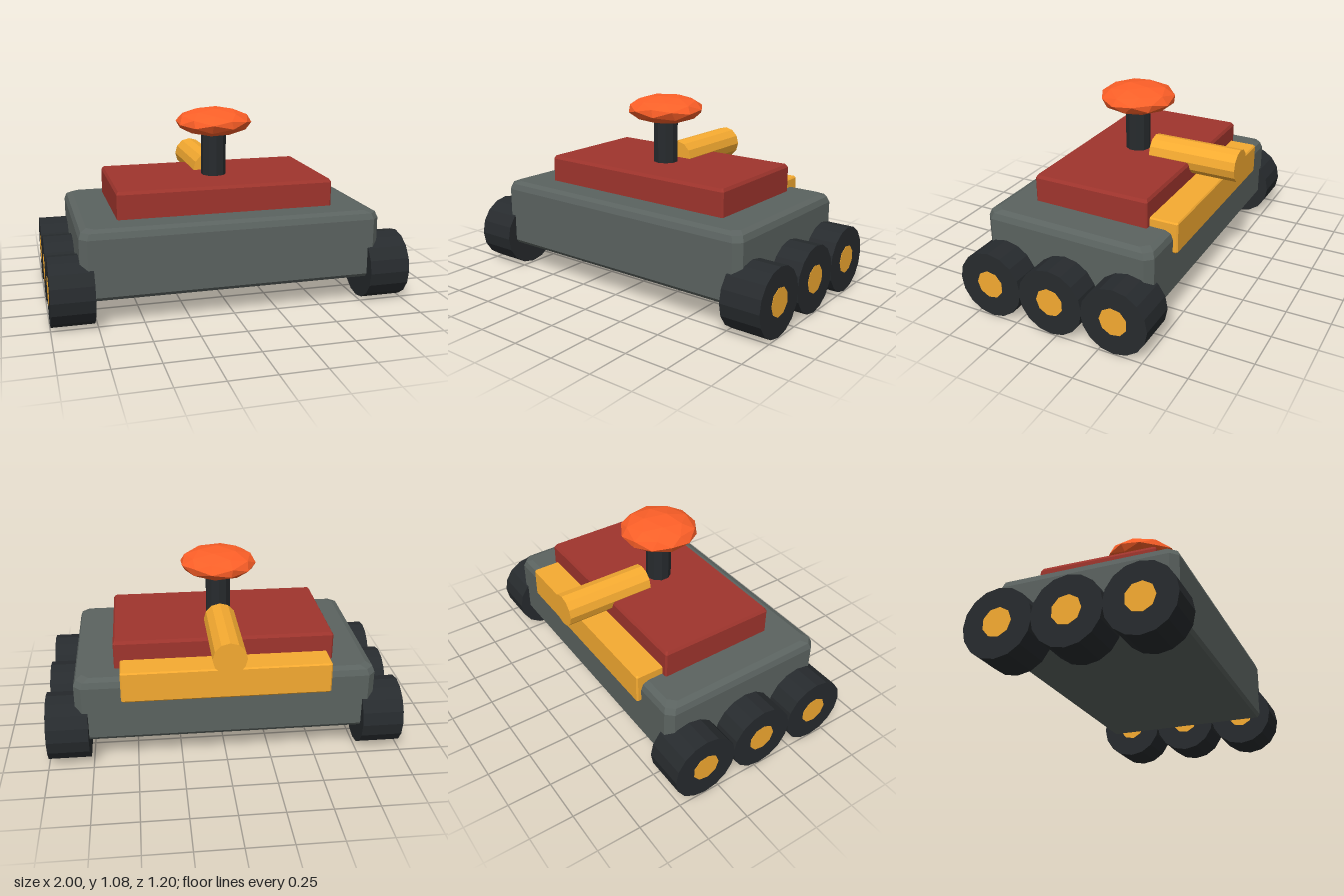
import * as THREE from 'three';

const paint = (color) => new THREE.MeshStandardMaterial({ color, flatShading: true });
const grey = paint(0x5b6360), dark = paint(0x272b2e), red = paint(0xa0352d);
const yellow = paint(0xf6ab31), orange = paint(0xff6028);

// Block lofted from eight-cornered rings; rings = [height, inset], bottom to top
function chamferedBlock(hw, hd, corner, rings) {
  const pos = [], index = [];
  for (const [y, inset] of rings) {
    const w = hw - inset, d = hd - inset, c = corner;
    const ring = [[w, c - d], [w - c, -d], [c - w, -d], [-w, c - d],
      [-w, d - c], [c - w, d], [w - c, d], [w, d - c]];
    for (const [x, z] of ring) pos.push(x, y, z);
  }
  for (let r = 0; r < rings.length - 1; r++) {
    for (let i = 0; i < 8; i++) {
      const a = r * 8 + i, b = r * 8 + (i + 1) % 8;
      index.push(a, b, a + 8, b, b + 8, a + 8);
    }
  }
  const top = (rings.length - 1) * 8;
  for (let i = 1; i < 7; i++) {
    index.push(0, i + 1, i);
    index.push(top, top + i, top + i + 1);
  }
  const g = new THREE.BufferGeometry();
  g.setAttribute('position', new THREE.Float32BufferAttribute(pos, 3));
  g.setIndex(index);
  const flat = g.toNonIndexed();
  flat.computeVertexNormals();
  return flat;
}

export function createModel() {
  const model = new THREE.Group();
  model.name = 'sixWheeledRover';
  const add = (name, geometry, material, x, y, z, parent = model) => {
    const mesh = new THREE.Mesh(geometry, material);
    mesh.name = name;
    mesh.position.set(x, y, z);
    parent.add(mesh);
  };

  // Hull, its deck sloping very slightly down to the rear
  const hull = chamferedBlock(0.835, 0.5, 0.04,
    [[0.155, 0.015], [0.175, 0], [0.485, 0], [0.518, 0.012], [0.532, 0.045]]);
  const p = hull.attributes.position;
  for (let i = 0; i < p.count; i++) {
    if (p.getY(i) > 0.4) p.setY(i, p.getY(i) + 0.012 * p.getZ(i));
  }
  hull.computeVertexNormals();
  add('hull', hull, grey, 0, 0, 0.036);

  // Raised deck block
  add('upperDeck', chamferedBlock(0.613, 0.34, 0.008,
    [[0.5, 0], [0.672, 0], [0.689, 0.01]]), red, 0, 0, 0.01);

  // Storage box set into the back of the hull
  add('rearBox', chamferedBlock(0.58, 0.1, 0.008,
    [[0.4, 0.006], [0.408, 0], [0.57, 0], [0.578, 0.006]]), yellow, 0, 0, -0.39);

  // Pipe pointing backwards
  const pipe = new THREE.CylinderGeometry(0.093, 0.093, 0.52, 12).rotateX(Math.PI / 2);
  add('rearPipe', pipe, yellow, 0, 0.692, -0.34);

  // Mast and faceted dome
  add('mast', new THREE.CylinderGeometry(0.072, 0.072, 0.36, 10), dark, 0, 0.78, 0.035);
  const dome = new THREE.IcosahedronGeometry(1, 1).rotateY(0.3).rotateX(0.25).scale(0.219, 0.081, 0.219);
  dome.computeVertexNormals();
  add('dome', dome, orange, 0, 0.998, 0.036);

  // Three wheels on each side, with hubs showing on both faces
  const tyre = new THREE.CylinderGeometry(0.19, 0.19, 0.232, 16).rotateZ(Math.PI / 2);
  const hub = new THREE.CylinderGeometry(0.08, 0.08, 0.236, 9).rotateZ(Math.PI / 2);
  for (const [side, sx] of [['left', 1], ['right', -1]]) {
    ['Front', 'Middle', 'Rear'].forEach((place, i) => {
      const wheel = new THREE.Group();
      wheel.name = `${side}${place}Wheel`;
      wheel.position.set(sx * 0.882, 0.19, 0.409 - i * 0.373);
      add('tyre', tyre, dark, 0, 0, 0, wheel);
      add('hub', hub, yellow, 0, 0.003, 0, wheel);
      model.add(wheel);
    });
  }
  return model;
}
